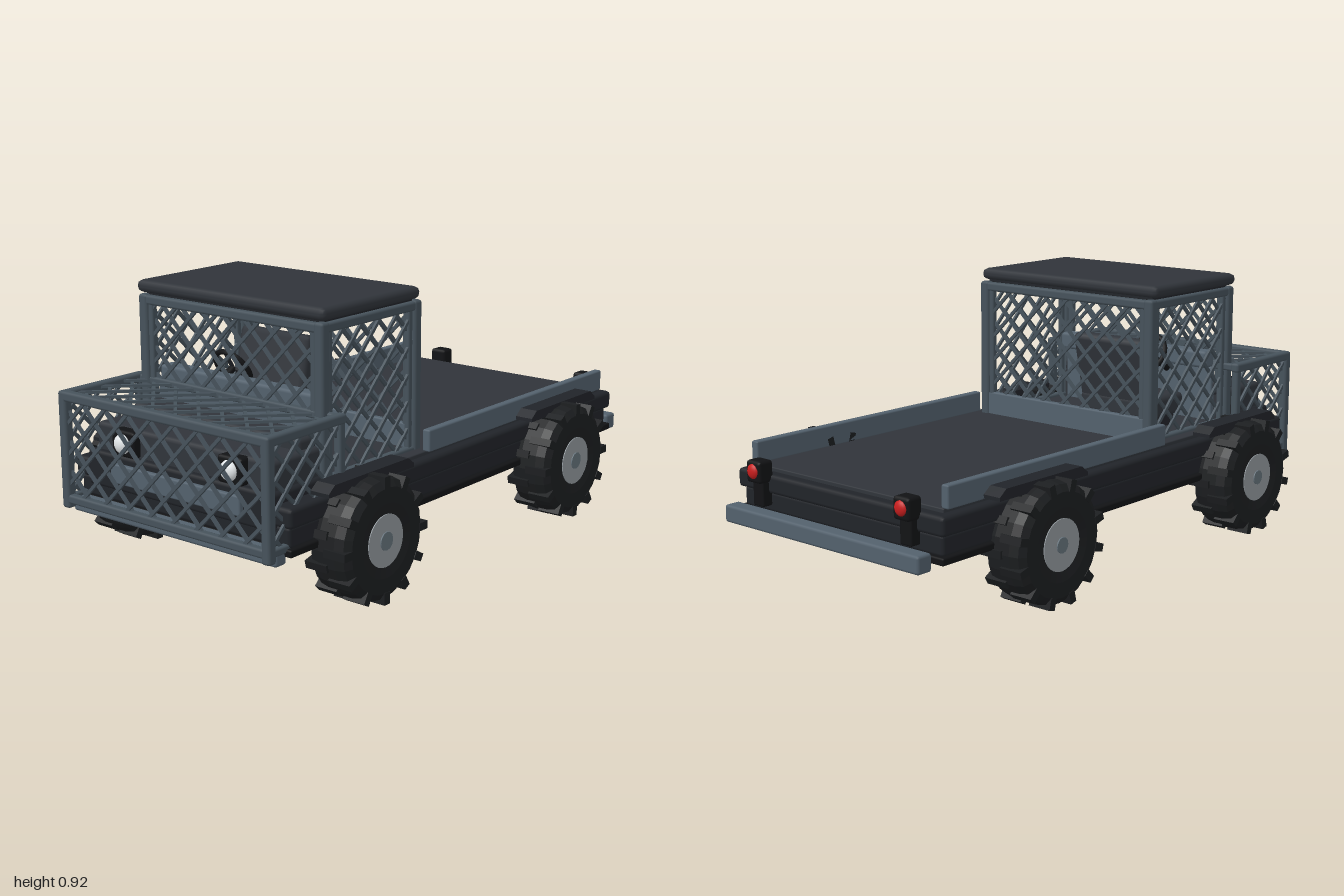
import * as THREE from 'three';
import { mergeGeometries } from 'three/addons/utils/BufferGeometryUtils.js';
import { RoundedBoxGeometry } from 'three/addons/geometries/RoundedBoxGeometry.js';

const paint = (color, flatShading = false) => {
  const m = new THREE.MeshStandardMaterial({ color });
  m.flatShading = flatShading;
  return m;
};
const DARK = paint(0x30343a), CHASSIS = paint(0x212429), BLACK = paint(0x121315);
const FRAME = paint(0x46525b), PANEL = paint(0x53616d), TYRE = paint(0x1c1e20, true);
const HUB = paint(0x92999e), CAP = paint(0x66737c), RED = paint(0xc81e1e), LAMP = paint(0xe4e8ea);

function add(parent, name, geometry, material, x = 0, y = 0, z = 0) {
  const mesh = new THREE.Mesh(geometry, material);
  mesh.name = name;
  mesh.position.set(x, y, z);
  parent.add(mesh);
  return mesh;
}

// Box given by its limits on each axis, with lightly chamfered edges
function block(parent, name, material, [x0, x1], [y0, y1], [z0, z1], r = 0.006) {
  const g = new RoundedBoxGeometry(x1 - x0, y1 - y0, z1 - z0, 1, r);
  return add(parent, name, g, material, (x0 + x1) / 2, (y0 + y1) / 2, (z0 + z1) / 2);
}

// Square tube with chamfered corners between two points along one axis
function tube(parent, name, a, b, w = 0.036) {
  const span = (i) => [Math.min(a[i], b[i]) - w / 2, Math.max(a[i], b[i]) + w / 2];
  return block(parent, name, FRAME, span(0), span(1), span(2), w * 0.27);
}

// Diagonal wire mesh filling a w by h rectangle in the XY plane, centred
function lattice(parent, name, w, h, position, rotation = [0, 0, 0], pitch = 0.09) {
  const bars = [];
  const n = Math.ceil((w + h) / 2 / pitch);
  for (let i = -n; i <= n; i++) {
    const c = i * pitch;
    const x0 = Math.max(-w / 2, -h / 2 - c), x1 = Math.min(w / 2, h / 2 - c);
    if (x1 - x0 < 0.01) continue;
    for (const s of [1, -1]) {
      const bar = new THREE.BoxGeometry((x1 - x0) * Math.SQRT2, 0.011, 0.009);
      bar.rotateZ(s * Math.PI / 4);
      const mid = (x0 + x1) / 2;
      bar.translate(s * mid, mid + c, s * 0.003);
      bars.push(bar);
    }
  }
  const mesh = add(parent, name, mergeGeometries(bars), FRAME, ...position);
  mesh.rotation.set(...rotation);
}

function wheel(side, z) {
  const g = new THREE.Group();
  g.name = 'wheel';
  // Tyre with rounded shoulders, open in the middle for the hub
  const profile = [[0.075, -0.07], [0.12, -0.078], [0.17, -0.078], [0.192, -0.062], [0.199, -0.03],
    [0.199, 0.03], [0.192, 0.062], [0.17, 0.078], [0.12, 0.078], [0.075, 0.07]];
  add(g, 'tyre', new THREE.LatheGeometry(profile.map((p) => new THREE.Vector2(...p)), 24), TYRE);
  // Staggered tread lugs on both shoulders
  const lugs = [];
  for (let i = 0; i < 24; i++) {
    const s = i % 2 ? 1 : -1;
    const lug = new THREE.BoxGeometry(0.04, 0.084, 0.026);
    lug.translate(0.186, s * 0.038, 0);
    lug.rotateY(i * Math.PI / 12);
    lugs.push(lug);
  }
  add(g, 'treadLugs', mergeGeometries(lugs), TYRE);
  add(g, 'hub', new THREE.CylinderGeometry(0.085, 0.085, 0.15, 28), HUB);
  add(g, 'hubCap', new THREE.CylinderGeometry(0.026, 0.03, 0.158, 12), CAP);
  g.rotation.z = Math.PI / 2;
  g.position.set(side * 0.495, 0.207, z);
  return g;
}

function createModel() {
  const model = new THREE.Group();
  model.name = 'utilityTruck';

  // Layered chassis and load deck
  block(model, 'basePlate', BLACK, [-0.465, 0.465], [0.215, 0.24], [-0.92, 0.92]);
  block(model, 'lowerBody', CHASSIS, [-0.45, 0.45], [0.235, 0.305], [-0.905, 0.91], 0.012);
  block(model, 'upperBody', CHASSIS, [-0.465, 0.465], [0.3, 0.365], [-0.92, 0.92], 0.014);
  block(model, 'loadDeck', DARK, [-0.43, 0.43], [0.36, 0.378], [-0.88, 0.64], 0.004);

  // Bumpers
  block(model, 'frontBumper', PANEL, [-0.44, 0.44], [0.19, 0.24], [0.91, 0.96], 0.01);
  block(model, 'rearBumper', PANEL, [-0.44, 0.44], [0.2, 0.26], [-1, -0.94], 0.01);

  for (const s of [1, -1]) {
    const span = (a, b) => (s > 0 ? [a, b] : [-b, -a]);
    block(model, 'deckRail', PANEL, span(0.415, 0.445), [0.375, 0.45], [-0.875, 0.21]);

    for (const z of [0.6, -0.5]) {
      model.add(wheel(s, z));
      // Flat mudguard with sloping ends
      const guard = new THREE.Shape([[-0.21, 0], [-0.21, 0.012], [-0.18, 0.035], [0.18, 0.035],
        [0.21, 0.012], [0.21, 0]].map((p) => new THREE.Vector2(...p)));
      const geo = new THREE.ExtrudeGeometry(guard, { depth: 0.07, bevelEnabled: false });
      geo.translate(0, 0, -0.035).rotateY(Math.PI / 2);
      add(model, 'mudguard', geo, CHASSIS, s * 0.475, 0.38, z - 0.01);
    }
    for (const z of [0.6, -0.5]) {
      const axle = add(model, 'axle', new THREE.CylinderGeometry(0.03, 0.03, 0.1, 12), BLACK, s * 0.42, 0.207, z);
      axle.rotation.z = Math.PI / 2;
    }

    // Tail lamps on short stalks
    block(model, 'tailLampStalk', BLACK, [s * 0.335 - 0.025, s * 0.335 + 0.025], [0.26, 0.35], [-0.945, -0.905]);
    block(model, 'tailLampHousing', BLACK, [s * 0.335 - 0.034, s * 0.335 + 0.034], [0.34, 0.415], [-0.965, -0.905], 0.012);
    const tail = add(model, 'tailLamp', new THREE.SphereGeometry(0.026, 16, 12), RED, s * 0.335, 0.38, -0.96);
    tail.scale.z = 0.6;

    // Headlamps
    block(model, 'headlampHousing', BLACK, [s * 0.23 - 0.05, s * 0.23 + 0.05], [0.4, 0.488], [0.86, 0.93], 0.01);
    const head = add(model, 'headlamp', new THREE.SphereGeometry(0.033, 20, 14), LAMP, s * 0.23, 0.445, 0.928);
    head.scale.z = 0.7;
  }

  // Nose and hood
  block(model, 'nose', CHASSIS, [-0.4, 0.4], [0.28, 0.4], [0.66, 0.925], 0.012);
  block(model, 'hood', DARK, [-0.38, 0.38], [0.36, 0.49], [0.65, 0.9], 0.015);
  block(model, 'hoodCowl', DARK, [-0.36, 0.36], [0.47, 0.525], [0.64, 0.76], 0.015);
  block(model, 'grillePanel', PANEL, [-0.28, 0.28], [0.31, 0.375], [0.915, 0.94]);
  block(model, 'firewall', PANEL, [-0.34, 0.34], [0.37, 0.575], [0.63, 0.655]);
  block(model, 'dashboard', PANEL, [-0.34, 0.34], [0.575, 0.638], [0.59, 0.65], 0.012);

  // Cab frame
  const X = 0.375, ZF = 0.668, ZB = 0.205, TOP = 0.855, LOW = 0.375;
  for (const s of [1, -1]) {
    for (const z of [ZF, ZB]) {
      tube(model, 'cabPost', [s * X, LOW, z], [s * X, TOP, z], 0.038);
      tube(model, 'cabInnerPost', [s * (X - 0.028), LOW, z], [s * (X - 0.028), TOP, z], 0.022);
    }
    tube(model, 'cabTopSideRail', [s * X, TOP, ZB], [s * X, TOP, ZF], 0.032);
    tube(model, 'cabSill', [s * X, LOW, ZB], [s * X, LOW, ZF], 0.03);
    for (const z of [ZB + 0.03, ZF - 0.03]) tube(model, 'doorEdge', [s * X, LOW, z], [s * X, TOP, z], 0.02);
    lattice(model, 'cabSideMesh', ZF - ZB, TOP - LOW, [s * X, (TOP + LOW) / 2, (ZF + ZB) / 2], [0, Math.PI / 2, 0]);
  }
  for (const z of [ZF, ZB]) tube(model, 'cabTopCrossRail', [-X, TOP, z], [X, TOP, z], 0.032);
  tube(model, 'windowSill', [-X, 0.585, ZF], [X, 0.585, ZF], 0.026);
  lattice(model, 'windscreenMesh', 2 * X, TOP - 0.585, [0, (TOP + 0.585) / 2, ZF]);
  lattice(model, 'rearWindowMesh', 2 * X, TOP - 0.45, [0, (TOP + 0.45) / 2, ZB]);
  block(model, 'cabRearPanel', PANEL, [-X, X], [0.37, 0.46], [ZB - 0.012, ZB + 0.012]);

  // Roof slab with tapered edges, from stacked rectangular outlines
  const roof = new THREE.Group();
  roof.name = 'roof';
  block(roof, 'roofUnderside', CHASSIS, [-0.375, 0.375], [0.868, 0.885], [0.215, 0.665], 0.004);
  block(roof, 'roofSlab', DARK, [-0.4, 0.4], [0.878, 0.92], [0.2, 0.69], 0.019);
  model.add(roof);

  // Front cage
  const CX = 0.433, CZ = 0.982, CY = 0.582, CB = 0.24, CR = 0.655;
  for (const s of [1, -1]) {
    tube(model, 'cageFrontPost', [s * CX, 0.225, CZ], [s * CX, CY, CZ], 0.034);
    tube(model, 'cageRearPost', [s * CX, 0.37, CR], [s * CX, CY, CR], 0.028);
    tube(model, 'cageTopSideRail', [s * CX, CY, CR], [s * CX, CY, CZ], 0.034);
    tube(model, 'cageBottomSideRail', [s * CX, CB, 0.9], [s * CX, CB, CZ], 0.026);
    lattice(model, 'cageSideMesh', CZ - CR, CY - CB, [s * CX, (CY + CB) / 2, (CZ + CR) / 2], [0, Math.PI / 2, 0]);
  }
  tube(model, 'cageTopRail', [-CX, CY, CZ], [CX, CY, CZ], 0.034);
  tube(model, 'cageRearRail', [-CX, CY, CR], [CX, CY, CR], 0.026);
  tube(model, 'cageBottomRail', [-CX, CB, CZ], [CX, CB, CZ], 0.03);
  lattice(model, 'cageFrontMesh', 2 * CX, CY - CB, [0, (CY + CB) / 2, CZ], [0, 0, 0], 0.1);
  lattice(model, 'cageTopMesh', 2 * CX, CZ - CR, [0, CY, (CZ + CR) / 2], [-Math.PI / 2, 0, 0], 0.1);

  // Driver's seat
  const seat = new THREE.Group();
  seat.name = 'seat';
  block(seat, 'seatBase', CHASSIS, [-0.27, -0.02], [0.375, 0.43], [0.32, 0.5]);
  block(seat, 'seatCushion', DARK, [-0.3, 0.01], [0.42, 0.5], [0.3, 0.52], 0.02);
  const back = block(seat, 'seatBack', DARK, [-0.3, 0.01], [0.465, 0.72], [0.28, 0.33], 0.02);
  back.rotation.x = -0.22;
  model.add(seat);

  // Steering wheel, facing back and up towards the driver
  const steering = new THREE.Group();
  steering.name = 'steeringWheel';
  add(steering, 'rim', new THREE.TorusGeometry(0.07, 0.009, 8, 28), BLACK);
  for (let i = 0; i < 3; i++) {
    const spoke = add(steering, 'spoke', new THREE.BoxGeometry(0.07, 0.012, 0.008).translate(0.035, 0, 0), CHASSIS);
    spoke.rotation.z = Math.PI / 2 + i * Math.PI * 2 / 3;
  }
  const column = add(steering, 'column', new THREE.CylinderGeometry(0.012, 0.012, 0.14, 10), BLACK, 0, 0, 0.07);
  column.rotation.x = Math.PI / 2;
  steering.position.set(-0.15, 0.625, 0.5);
  steering.rotation.x = 0.55;
  model.add(steering);

  return model;
}

export { createModel };
